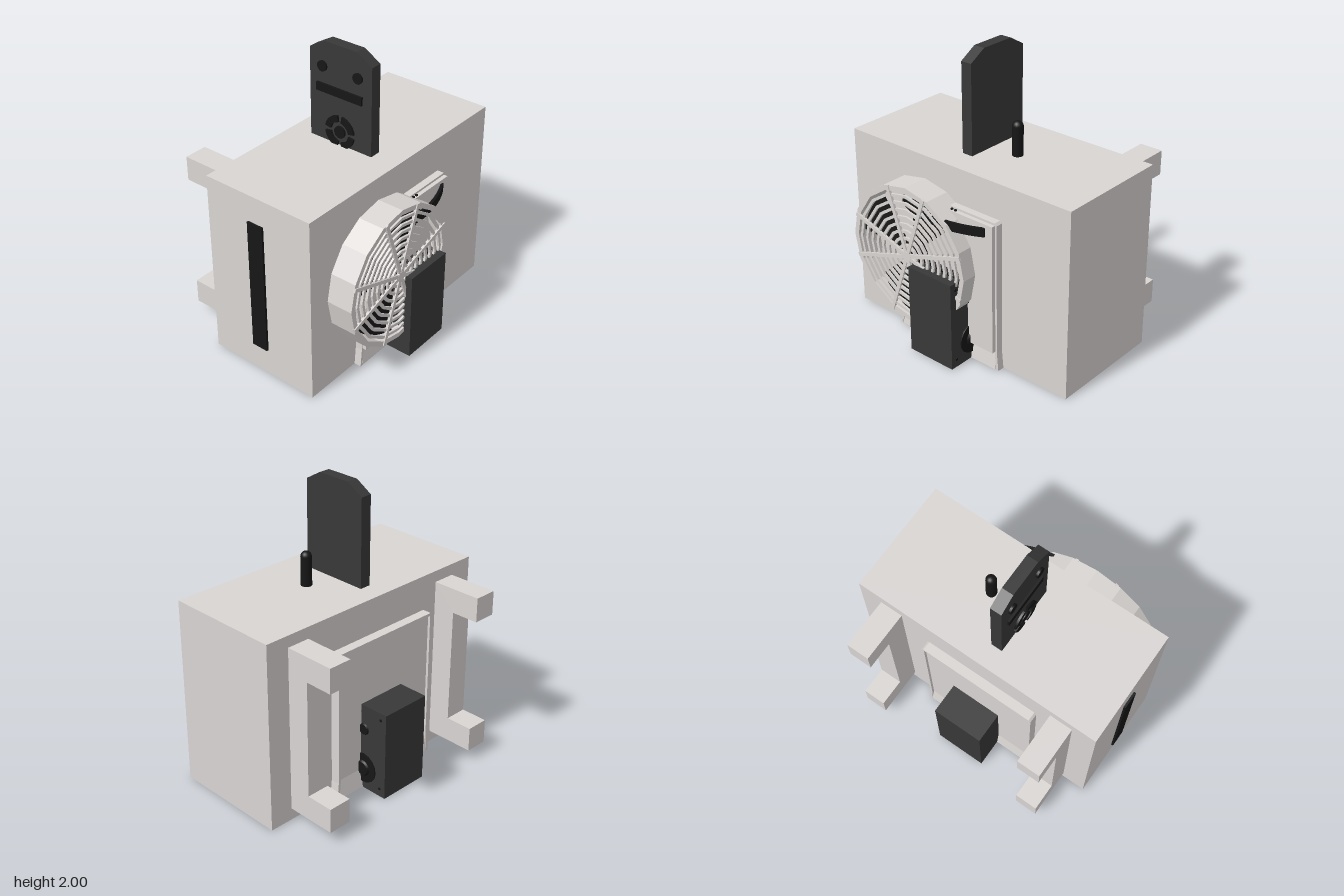
import * as THREE from 'three';

const mat = (color, side = THREE.FrontSide) => new THREE.MeshStandardMaterial({ color, side });

export function createModel() {
  const root = new THREE.Group();
  const pale = mat(0xd9d5d3), paleThin = mat(0xd9d5d3, THREE.DoubleSide);
  const dark = mat(0x383838), black = mat(0x161616), blackThin = mat(0x161616, THREE.DoubleSide);

  const add = (name, geo, material, parent = root) => {
    const m = new THREE.Mesh(geo, material);
    m.name = name;
    parent.add(m);
    return m;
  };
  // Box given by its limits
  const box = (name, x0, x1, y0, y1, z0, z1, material, parent) => add(name,
    new THREE.BoxGeometry(x1 - x0, y1 - y0, z1 - z0)
      .translate((x0 + x1) / 2, (y0 + y1) / 2, (z0 + z1) / 2), material, parent);
  const shapeOf = pts => new THREE.Shape(pts.map(p => new THREE.Vector2(...p)));
  const extrude = (shape, depth, curveSegments = 8) =>
    new THREE.ExtrudeGeometry(shape, { depth, bevelEnabled: false, curveSegments });
  // Side profile in (z, y), swept from x0 to x1
  const sideProfile = (name, pts, x0, x1, material, parent) => add(name,
    extrude(shapeOf(pts), x1 - x0).rotateY(-Math.PI / 2).translate(x1, 0, 0), material, parent);
  // Round button lying on a side face, from x0 to x1
  const disc = (name, r, x0, x1, y, z, material, parent, taper = 1) => add(name,
    new THREE.CylinderGeometry(r * taper, r, x1 - x0, 16).rotateZ(-Math.PI / 2)
      .translate((x0 + x1) / 2, y, z), material, parent);
  // Flat ring sector in the xy plane
  const sector = (r0, r1, a0, a1) => {
    const s = new THREE.Shape();
    s.absarc(0, 0, r1, a0, a1, false);
    s.absarc(0, 0, r0, a1, a0, true);
    return s;
  };

  // Main housing and the dark strip on its side
  box('housing', -0.9, 0.91, 0, 1.315, -0.35, 0.475, pale);
  box('sideStrip', -0.915, -0.89, 0.19, 1.13, -0.01, 0.11, black);

  // Rear C-shaped brackets
  const bracket = [[-0.34, 0.085], [-0.705, 0.085], [-0.705, 0.257], [-0.51, 0.257],
    [-0.51, 1.065], [-0.705, 1.065], [-0.705, 1.235], [-0.34, 1.235]];
  for (const x of [-0.73, 0.58]) sideProfile('rearBracket', bracket, x, x + 0.163, pale);

  // Framed panels on front and back, flared at the foot
  const panel = (name, z, depth, turn) => {
    const g = new THREE.Group();
    g.name = name;
    g.position.set(-0.04, 0, z);
    g.rotation.y = turn;
    root.add(g);
    const rim = shapeOf([[-0.44, 0], [0.44, 0], [0.428, 0.13], [0.428, 1.055], [0.413, 1.07],
      [-0.413, 1.07], [-0.428, 1.055], [-0.428, 0.13]]);
    rim.holes.push(new THREE.Path([[-0.42, 0.012], [-0.41, 0.13], [-0.41, 1.05],
      [0.41, 1.05], [0.41, 0.13], [0.42, 0.012]].map(p => new THREE.Vector2(...p))));
    add('panelRim', extrude(rim, depth), pale, g);
    box('panelFloor', -0.415, 0.415, 0.01, 1.055, 0, depth - 0.018, pale, g);
    sideProfile('panelSill', [[0, 0.005], [depth + 0.003, 0.005], [depth - 0.018, 0.135], [0, 0.135]],
      -0.415, 0.415, pale, g);
    return g;
  };
  panel('frontPanel', 0.475, 0.05, 0);
  panel('backPanel', -0.35, 0.065, Math.PI);
  box('frontDoor', -0.46, 0.375, 0.14, 1.055, 0.5, 0.553, pale);
  for (const x of [0.03, 0.06]) add('doorScrew',
    new THREE.CylinderGeometry(0.01, 0.01, 0.01, 10).translate(x, 1.056, 0.535), black);

  // Bowed pull bar across the door
  const bow = new THREE.BoxGeometry(0.7, 0.06, 0.02, 16, 1, 1);
  const bp = bow.attributes.position;
  for (let i = 0; i < bp.count; i++) {
    const t = bp.getX(i) / 0.35;
    bp.setZ(i, bp.getZ(i) + 0.09 * (1 - t * t));
  }
  bow.computeVertexNormals();
  add('pullBar', bow.translate(-0.03, 1, 0.552), black);

  // Fan with shroud, blades and guard
  const fan = new THREE.Group();
  fan.name = 'fan';
  fan.position.set(-0.255, 0.665, 0);
  root.add(fan);
  const shroud = new THREE.LatheGeometry([[0.465, 0.47], [0.49, 0.47], [0.49, 0.655], [0.465, 0.655], [0.465, 0.47]]
    .map(p => new THREE.Vector2(...p)), 16).toNonIndexed();
  shroud.computeVertexNormals();
  add('fanShroud', shroud.rotateX(Math.PI / 2).scale(1, 1, 1), paleThin, fan);

  // The turned lathe starts at a vertex on the vertical axis, as do the guard rings
  const R = [0.49, 0.435, 0.385, 0.335, 0.285, 0.235, 0.185, 0.135, 0.085];
  R.forEach((r, i) => {
    const w = i ? 0.02 : 0.035;
    const ring = new THREE.LatheGeometry([[r - w, 0.645], [r, 0.645], [r, 0.66], [r - w, 0.66], [r - w, 0.645]]
      .map(p => new THREE.Vector2(...p)), 16).toNonIndexed();
    ring.computeVertexNormals();
    add('guardRing', ring.rotateX(Math.PI / 2), paleThin, fan);
  });
  for (const deg of [18.4, 71, 109, 161.6]) {
    const bar = add('guardSpoke', new THREE.BoxGeometry(0.97, 0.026, 0.018), pale, fan);
    bar.position.z = 0.658;
    bar.rotation.z = THREE.MathUtils.degToRad(deg);
  }
  add('guardCentre', new THREE.CylinderGeometry(0.035, 0.035, 0.02, 16).rotateX(Math.PI / 2)
    .translate(0, 0, 0.658), pale, fan);
  add('fanHub', new THREE.CylinderGeometry(0.08, 0.08, 0.08, 16).rotateX(Math.PI / 2)
    .translate(0, 0, 0.59), black, fan);
  for (let i = 0; i < 4; i++) {
    const blade = add('fanBlade', extrude(sector(0.06, 0.43, -0.38, 0.38), 0.008), blackThin, fan);
    const p = blade.geometry.attributes.position;
    for (let k = 0; k < p.count; k++) p.setZ(k, p.getZ(k) + 0.595 + 0.15 * p.getY(k));
    blade.geometry.computeVertexNormals();
    blade.rotation.z = THREE.MathUtils.degToRad(63.5 + 90 * i);
  }

  // Dark control boxes, front and back, with dials on their side
  const controlBox = (name, z0, z1, outward) => {
    const g = new THREE.Group();
    g.name = name;
    root.add(g);
    box('controlCase', -0.2, 0.167, 0.003, 0.63, z0, z1, dark, g);
    const outer = outward > 0 ? z1 : z0;
    const dialZ = outer - outward * 0.19;
    disc('largeDial', 0.108, 0.16, 0.175, 0.16, dialZ, black, g);
    disc('dialKnob', 0.06, 0.17, 0.188, 0.16, dialZ, black, g, 0.8);
    disc('smallDial', 0.045, 0.16, 0.178, 0.455, dialZ, black, g, 0.8);
    for (const y of [0.06, 0.58])
      for (const d of [0.045, 0.22]) disc('caseScrew', 0.01, 0.16, 0.169, y, outer - outward * d, black, g);
  };
  controlBox('frontControlBox', 0.45, 0.71, 1);
  controlBox('backControlBox', -0.613, -0.353, -1);

  // Upright panel on the top with its buttons
  const upright = new THREE.Group();
  upright.name = 'uprightPanel';
  root.add(upright);
  sideProfile('uprightPlate', [[-0.2, 1.3], [0.29, 1.3], [0.29, 1.93], [0.17, 2], [-0.08, 2], [-0.2, 1.93]],
    -0.097, -0.017, dark, upright);
  for (const z of [-0.095, 0.185]) {
    disc('roundButton', 0.036, -0.112, -0.09, 1.83, z, black, upright);
  }
  box('displayBar', -0.112, -0.09, 1.655, 1.712, -0.14, 0.22, black, upright);
  for (let i = 0; i < 4; i++) {
    const a = i * Math.PI / 2 + 0.15;
    add('padSegment', extrude(sector(0.07, 0.115, a, a + 1.27), 0.022).rotateY(-Math.PI / 2)
      .translate(-0.09, 1.41, 0.045), black, upright);
  }
  disc('padCentre', 0.042, -0.112, -0.09, 1.41, 0.045, black, upright);

  // Round-ended post on the top
  add('post', new THREE.CapsuleGeometry(0.037, 0.2, 8, 16).translate(0.185, 1.413, 0.087), black);

  return root;
}
